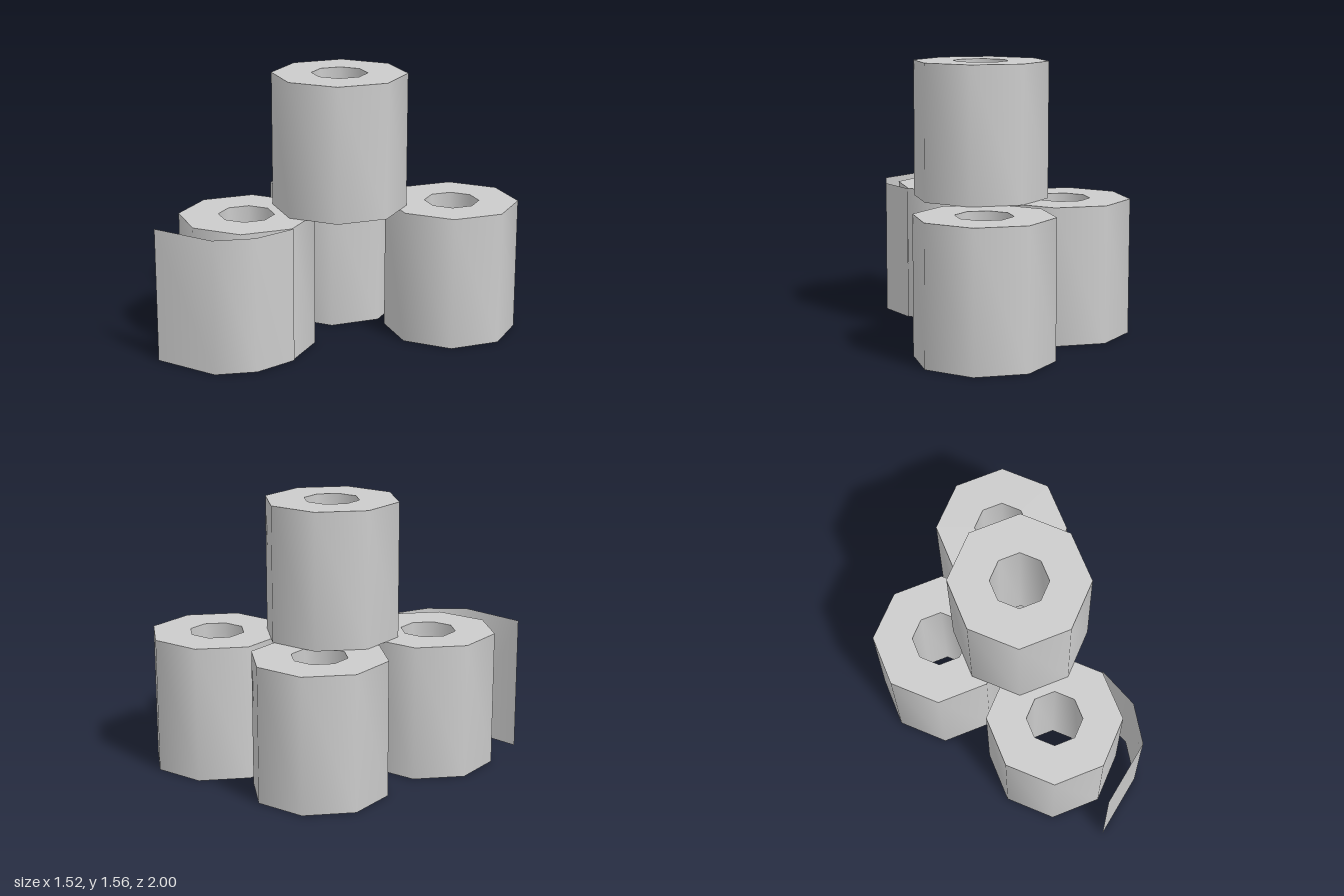
import * as THREE from 'three';
import { toCreasedNormals } from 'three/addons/utils/BufferGeometryUtils.js';

const RADIUS = 0.388, HOLE = 0.16, HEIGHT = 0.78;

export function createModel() {
  const model = new THREE.Group();
  const material = new THREE.MeshStandardMaterial({ color: 0xcccccc });

  // Eight-sided paper roll with an open core: one closed profile, turned
  const profile = [[HOLE, 0], [RADIUS, 0], [RADIUS, HEIGHT], [HOLE, HEIGHT], [HOLE, 0]]
    .map(([r, y]) => new THREE.Vector2(r, y));
  const rollGeometry = toCreasedNormals(new THREE.LatheGeometry(profile, 8), Math.PI / 3);

  const rolls = {
    backLeftRoll: [0.37, 0, -0.61],
    backRightRoll: [-0.37, 0, -0.36],
    frontRoll: [-0.24, 0, 0.445],
    topRoll: [-0.01, HEIGHT, -0.065],
  };
  for (const [name, position] of Object.entries(rolls)) {
    const roll = new THREE.Mesh(rollGeometry, material);
    roll.name = name;
    roll.position.set(...position);
    model.add(roll);
  }

  // Loose sheet unwinding from the front roll: a strip bent along a path in x, z
  const path = [[0.155, 0.44], [0.14, 0.7], [0.01, 0.9], [-0.37, 1.0]];
  const sheetGeometry = new THREE.PlaneGeometry(1, HEIGHT, path.length - 1, 1);
  const points = sheetGeometry.attributes.position;
  for (let i = 0; i < points.count; i++) {
    const [x, z] = path[i % path.length];
    points.setXYZ(i, x, points.getY(i) + HEIGHT / 2, z);
  }
  sheetGeometry.computeVertexNormals();
  const sheetMaterial = material.clone();
  sheetMaterial.side = THREE.DoubleSide;
  const sheet = new THREE.Mesh(sheetGeometry, sheetMaterial);
  sheet.name = 'looseSheet';
  model.add(sheet);

  return model;
}
